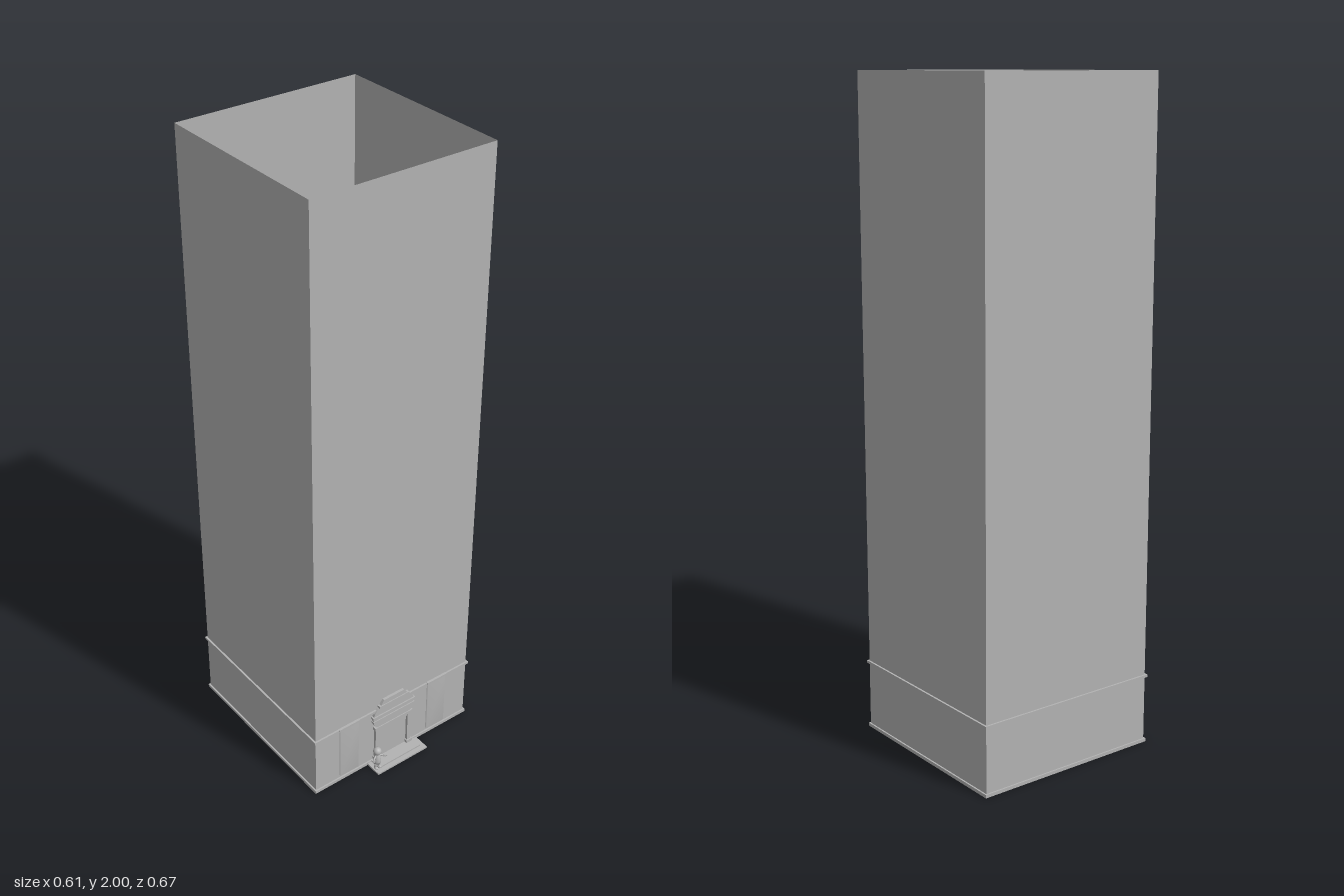
import * as THREE from 'three';
import { mergeVertices } from 'three/addons/utils/BufferGeometryUtils.js';

const stone = new THREE.MeshStandardMaterial({ color: 0xb2b2b2, side: THREE.DoubleSide });
stone.name = 'stone grey';

const CZ = -0.026; // centre of the tower in z
const HALF = 0.3; // half width of the tower
const FRONT = CZ + HALF; // front wall plane

function add(parent, name, geometry, x = 0, y = 0, z = 0) {
  const mesh = new THREE.Mesh(geometry, stone);
  mesh.name = name;
  mesh.position.set(x, y, z);
  parent.add(mesh);
  return mesh;
}

// Box given by its width, y range and z range
function block(parent, name, x, w, y0, y1, z0, z1) {
  return add(parent, name, new THREE.BoxGeometry(w, y1 - y0, z1 - z0), x, (y0 + y1) / 2, (z0 + z1) / 2);
}

// Box with shared corners, so its shading is soft
function softBox(w, h, d) {
  const g = new THREE.BoxGeometry(w, h, d);
  g.deleteAttribute('uv');
  g.deleteAttribute('normal');
  const soft = mergeVertices(g);
  soft.computeVertexNormals();
  return soft;
}

function squarePath(Type, half) {
  const p = new Type();
  p.moveTo(-half, -half);
  p.lineTo(half, -half);
  p.lineTo(half, half);
  p.lineTo(-half, half);
  p.closePath();
  return p;
}

// Square moulding running round the tower
function ring(parent, name, outer, y0, y1) {
  const shape = squarePath(THREE.Shape, outer);
  shape.holes.push(squarePath(THREE.Path, HALF));
  const g = new THREE.ExtrudeGeometry(shape, { depth: y1 - y0, bevelEnabled: false });
  g.rotateX(-Math.PI / 2);
  add(parent, name, g, 0, y0, CZ);
}

function tube(parent, name, points, radius) {
  const curve = new THREE.CatmullRomCurve3(points.map((p) => new THREE.Vector3(...p)));
  add(parent, name, new THREE.TubeGeometry(curve, 10, radius, 8));
}

function tower(root) {
  const g = new THREE.Group();
  g.name = 'tower';
  root.add(g);
  // Thin walls, open at the top
  for (let i = 0; i < 4; i++) {
    const a = (i * Math.PI) / 2;
    const wall = add(g, 'wall', new THREE.PlaneGeometry(HALF * 2, 2),
      Math.sin(a) * HALF, 1, CZ + Math.cos(a) * HALF);
    wall.rotation.y = a;
  }
  block(g, 'floor', 0, HALF * 2, 0.001, 0.006, CZ - HALF, FRONT);
  ring(g, 'baseMoulding', 0.305, 0, 0.01);
  ring(g, 'upperMoulding', 0.306, 0.21, 0.218);
  // Shallow panels with caps beside the entrance
  for (const s of [-1, 1]) {
    add(g, 'panel', softBox(0.07, 0.195, 0.014), s * 0.174, 0.1175, FRONT);
    block(g, 'panelCap', s * 0.174, 0.078, 0.212, 0.219, FRONT - 0.008, FRONT + 0.008);
  }
}

function entrance(root) {
  const g = new THREE.Group();
  g.name = 'entrance';
  g.position.x = -0.002;
  root.add(g);
  block(g, 'lowerStep', 0, 0.198, 0, 0.006, FRONT, 0.334);
  block(g, 'upperStep', 0, 0.166, 0.006, 0.011, FRONT, 0.318);
  block(g, 'door', 0, 0.11, 0.011, 0.138, FRONT, FRONT + 0.003);
  for (const s of [-1, 1]) {
    block(g, 'doorPost', s * 0.064, 0.014, 0.011, 0.138, FRONT, 0.283);
    block(g, 'postFoot', s * 0.064, 0.022, 0.011, 0.022, FRONT, 0.287);
  }
  block(g, 'doorHead', 0, 0.114, 0.126, 0.138, FRONT, 0.281);
  block(g, 'lintel', 0, 0.15, 0.138, 0.148, FRONT, 0.286);
  // Curved hood silhouette between the bands
  const hood = new THREE.Shape();
  hood.moveTo(-0.066, 0.148);
  hood.lineTo(0.066, 0.148);
  hood.quadraticCurveTo(0.078, 0.156, 0.08, 0.176);
  hood.lineTo(0.08, 0.194);
  hood.quadraticCurveTo(0.075, 0.216, 0.054, 0.228);
  hood.lineTo(-0.054, 0.228);
  hood.quadraticCurveTo(-0.075, 0.216, -0.08, 0.194);
  hood.lineTo(-0.08, 0.176);
  hood.quadraticCurveTo(-0.078, 0.156, -0.066, 0.148);
  add(g, 'hood', new THREE.ExtrudeGeometry(hood, { depth: 0.009, bevelEnabled: false, curveSegments: 8 }), 0, 0, FRONT);
  block(g, 'hoodLowerBand', 0, 0.164, 0.172, 0.179, FRONT, 0.286);
  block(g, 'hoodUpperBand', 0, 0.168, 0.19, 0.197, FRONT, 0.287);
  block(g, 'hoodCap', 0, 0.118, 0.224, 0.232, FRONT, 0.286);
  const crest = new THREE.Shape();
  crest.moveTo(-0.052, 0.232);
  crest.lineTo(0.052, 0.232);
  crest.lineTo(0.04, 0.249);
  crest.lineTo(-0.04, 0.249);
  add(g, 'crest', new THREE.ExtrudeGeometry(crest, { depth: 0.009, bevelEnabled: false }), 0, 0, FRONT);
}

// Small statue with a round head and open arms
function statue(root) {
  const g = new THREE.Group();
  g.name = 'statue';
  g.position.set(-0.086, 0, 0.308);
  root.add(g);
  const profile = [[0, 0.026], [0.011, 0.028], [0.013, 0.036], [0.01, 0.05], [0.007, 0.061], [0.003, 0.068]];
  add(g, 'body', new THREE.LatheGeometry(profile.map((p) => new THREE.Vector2(...p)), 16));
  add(g, 'head', new THREE.SphereGeometry(0.0135, 18, 12), 0, 0.076, 0);
  for (const s of [-1, 1]) {
    tube(g, 'leg', [[s * 0.006, 0.03, 0], [s * 0.007, 0.018, 0.001], [s * 0.007, 0.006, 0]], 0.004);
    const foot = add(g, 'foot', new THREE.SphereGeometry(0.006, 10, 8), s * 0.007, 0.01, 0.004);
    foot.scale.set(0.9, 0.6, 1.4);
    tube(g, 'arm', [[s * 0.006, 0.058, 0], [s * 0.015, 0.053, 0.004], [s * 0.021, 0.052, 0.009]], 0.003);
    // Fingers spread from the hand
    for (const k of [-1, 0, 1]) {
      tube(g, 'finger', [[s * 0.021, 0.052, 0.008], [s * (0.022 + k * 0.004), 0.053, 0.012],
        [s * (0.023 + k * 0.006), 0.053, 0.016]], 0.0018);
    }
  }
}

export function createModel() {
  const root = new THREE.Group();
  root.name = 'towerBuilding';
  tower(root);
  entrance(root);
  statue(root);
  return root;
}
